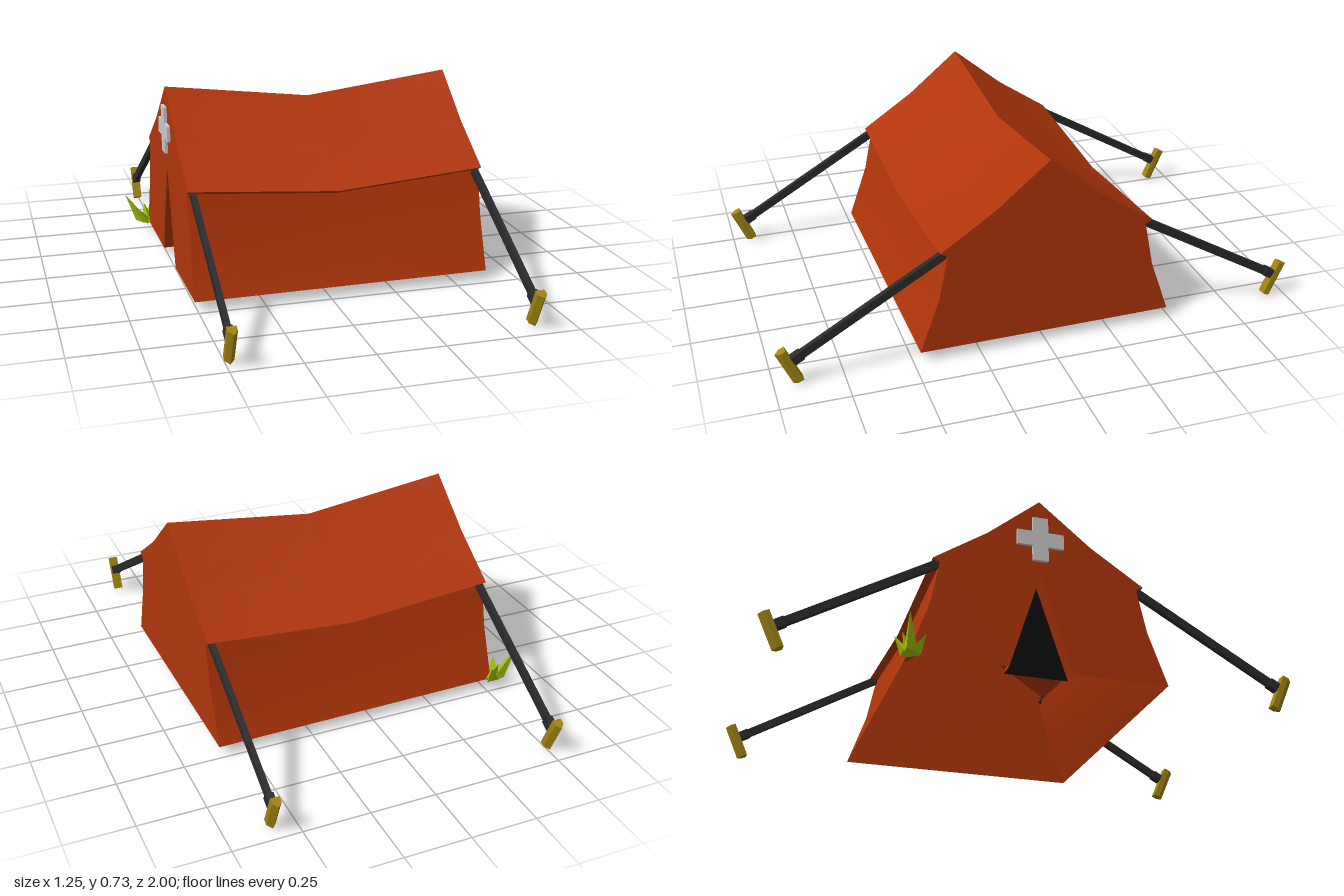
import * as THREE from 'three';
import { toCreasedNormals } from 'three/addons/utils/BufferGeometryUtils.js';

const mat = (color, flatShading = true) =>
  new THREE.MeshStandardMaterial({ color, flatShading, side: THREE.DoubleSide });
const canvas = mat(0xb0350a, false), dark = mat(0x0c0c0c), rope = mat(0x2a2a2a);
const wood = mat(0xa08410), leaf = mat(0xa4c40a), grey = mat(0xcccccc);

const HALF = 0.568; // half length of the tent along x
const GROUND = 0.046;

// Half profile from ground to ridge: z, y, sag at the middle of the tent
const half = [
  [0.482, GROUND, 0], [0.41, 0.25, 0.02], [0.375, 0.42, 0.045],
  [0.402, 0.435, 0.045], [0.2, 0.57, 0.058], [0, 0.735, 0.07],
];
const profile = [...half, ...half.slice(0, -1).reverse().map(([z, y, s]) => [-z, y, s])];

function add(parent, name, geometry, material) {
  const mesh = new THREE.Mesh(geometry, material);
  mesh.name = name;
  parent.add(mesh);
  return mesh;
}

// Surface through equal-length open sections of Vector3 points
function loft(sections) {
  const pos = [];
  for (let s = 0; s < sections.length - 1; s++) {
    for (let i = 0; i < sections[s].length - 1; i++) {
      const a = sections[s][i], b = sections[s + 1][i];
      const c = sections[s + 1][i + 1], d = sections[s][i + 1];
      for (const p of [a, b, c, a, c, d]) pos.push(p.x, p.y, p.z);
    }
  }
  const g = new THREE.BufferGeometry();
  g.setAttribute('position', new THREE.Float32BufferAttribute(pos, 3));
  return toCreasedNormals(g, 0.5);
}

// Flat panel across the tent from [z, y] points, facing side * x
function endPanel(points, x, side) {
  const shape = new THREE.Shape(points.map(([z, y]) => new THREE.Vector2(side < 0 ? z : -z, y)));
  return new THREE.ShapeGeometry(shape).rotateY(side * Math.PI / 2).translate(x, 0, 0);
}

// Box stretched between two points
function bar(parent, name, from, to, w, h, material) {
  const mesh = add(parent, name, new THREE.BoxGeometry(w, h, from.distanceTo(to)), material);
  mesh.position.copy(from).add(to).multiplyScalar(0.5);
  mesh.quaternion.setFromUnitVectors(new THREE.Vector3(0, 0, 1), to.clone().sub(from).normalize());
}

export function createModel() {
  const root = new THREE.Group();
  root.name = 'tent';
  const tent = new THREE.Group();
  tent.name = 'tentBody';
  tent.position.x = 0.05;
  tent.rotation.y = 0.013;
  root.add(tent);

  // Sagging roof and side walls
  const sections = [-HALF, 0, HALF].map((x) =>
    profile.map(([z, y, s]) => new THREE.Vector3(x, x === 0 ? y - s : y, z)));
  add(tent, 'roofAndWalls', loft(sections), canvas);

  // Closed end, and the end with a triangular doorway
  const door = [[0.12, GROUND], [0, 0.42], [-0.12, GROUND]];
  add(tent, 'closedEnd', endPanel(profile, HALF, 1), canvas);
  add(tent, 'doorEnd', endPanel([...profile, ...[...door].reverse()], -HALF, -1), canvas);

  // Doorway folds turned inward, with a dark panel behind
  const folds = [-HALF, -HALF + 0.065].map((x) => door.map(([z, y]) => new THREE.Vector3(x, y, z)));
  add(tent, 'doorFolds', loft(folds), canvas);
  add(tent, 'doorOpening', endPanel(door, -HALF + 0.065, -1), dark);

  // Cross badge above the door
  const a = 0.03, b = 0.09;
  const cross = new THREE.Shape([
    [a, b], [-a, b], [-a, a], [-b, a], [-b, -a], [-a, -a],
    [-a, -b], [a, -b], [a, -a], [b, -a], [b, a], [a, a],
  ].map(([x, y]) => new THREE.Vector2(x, y)));
  const badge = add(tent, 'crossBadge',
    new THREE.ExtrudeGeometry(cross, { depth: 0.014, bevelEnabled: false }), grey);
  badge.rotation.y = -Math.PI / 2;
  badge.position.set(-HALF + 0.002, 0.57, 0);

  // Guy lines and leaning stakes at the four corners
  const stakeShape = new THREE.Shape([
    [-0.017, -0.02], [0.017, -0.02], [0.017, 0.002], [0, 0.02], [-0.017, 0.002],
  ].map(([x, y]) => new THREE.Vector2(x, y)));
  const stakeGeo = new THREE.ExtrudeGeometry(stakeShape, { depth: 0.14, bevelEnabled: false })
    .translate(0, 0, -0.07).rotateX(Math.PI / 2); // pointed edge faces outward
  for (const side of [1, -1]) {
    for (const x of [-0.547, 0.547]) {
      const corner = new THREE.Group();
      corner.name = 'guyLine';
      corner.rotation.y = side > 0 ? 0 : Math.PI;
      tent.add(corner);
      const top = new THREE.Vector3(x, 0.425, 0.375), low = new THREE.Vector3(x, 0.1, 0.935);
      bar(corner, 'line', top, low, 0.02, 0.03, rope);
      bar(corner, 'lineKnot', low.clone().lerp(top, 0.06), low, 0.03, 0.034, rope);
      const stake = add(corner, 'stake', stakeGeo, wood);
      stake.position.set(x, 0.078, 0.948);
      stake.rotation.x = 0.42;
    }
  }

  // Grass tuft by the door corner: base x, z, then tip x, y, z
  const blades = [
    [-0.55, -0.475, -0.62, 0.165, -0.49], [-0.535, -0.46, -0.565, 0.11, -0.42],
    [-0.525, -0.48, -0.5, 0.12, -0.52], [-0.525, -0.465, -0.54, 0.12, -0.5],
    [-0.52, -0.46, -0.5, 0.1, -0.44],
  ];
  for (const [bx, bz, tx, ty, tz] of blades) {
    const h = ty - GROUND;
    const g = new THREE.ConeGeometry(0.03, h, 3).translate(0, h / 2, 0);
    g.applyMatrix4(new THREE.Matrix4().makeShear(0, 0, (tx - bx) / h, (tz - bz) / h, 0, 0));
    add(root, 'grassBlade', g, leaf).position.set(bx, GROUND, bz);
  }
  return root;
}
